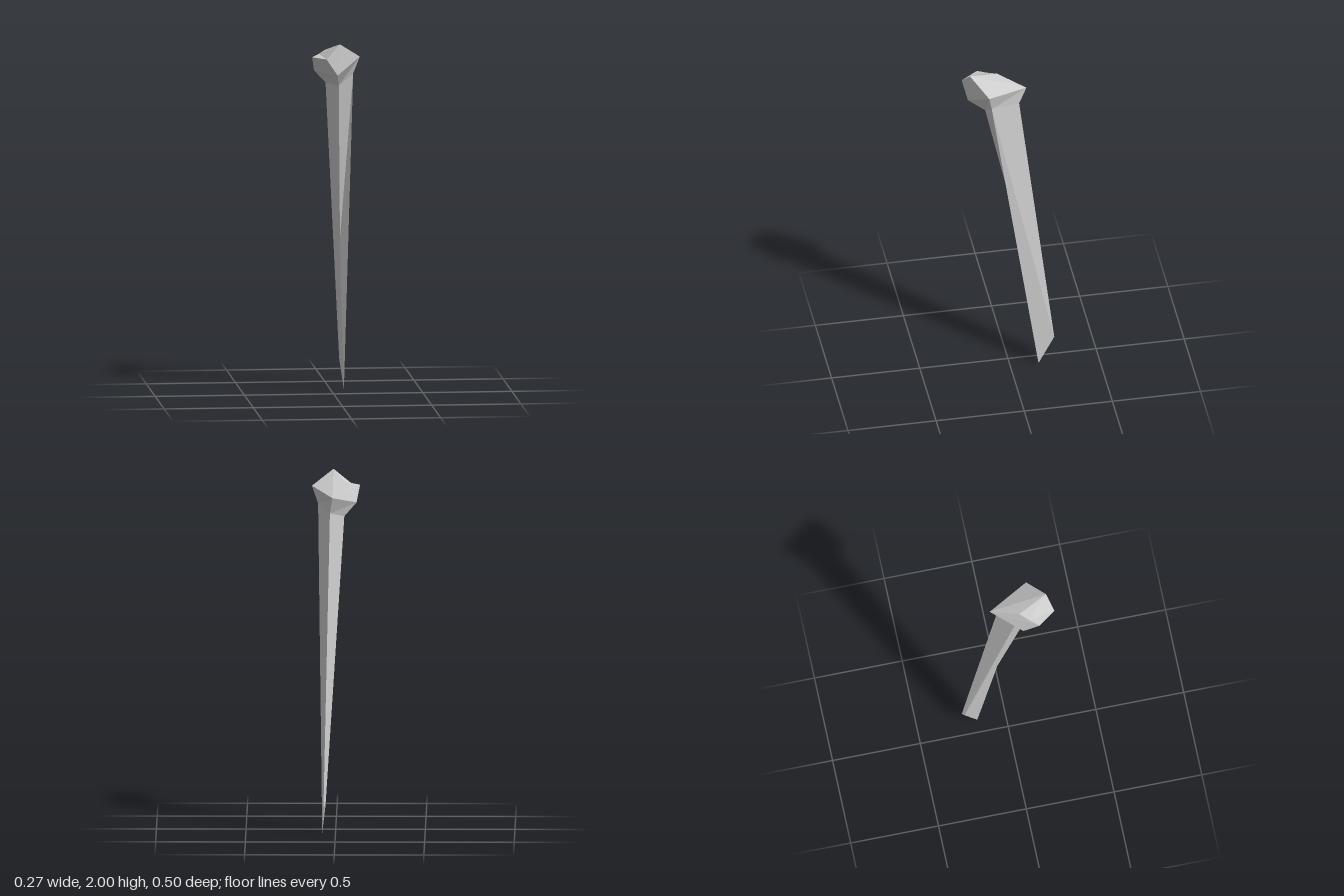
import * as THREE from 'three';

// Corner points, shared by head and shaft
const P = {
  // head: crown
  backTip: [0.017, 1.88, -0.102], crownLeft: [0.134, 1.917, 0.13], peak: [0.014, 2, 0.218],
  ridge: [-0.054, 1.947, 0.052], dent: [-0.093, 1.931, 0.099],
  cheekBack: [-0.135, 1.92, 0.151], cheekFront: [-0.064, 1.92, 0.25],
  // head: underside
  jawBack: [-0.116, 1.833, 0.063], jawFront: [0, 1.825, 0.227],
  // neck ring
  neckBack: [0.032, 1.788, -0.058], neckRight: [-0.048, 1.76, 0.028],
  neckFront: [0.016, 1.755, 0.132], neckLeft: [0.099, 1.82, 0.11],
  // shaft: end of the front facet and the slanted point
  facetEnd: [0.042, 0.866, -0.062], tipBack: [0.066, 0.165, -0.251],
  tipRight: [0.055, 0.165, -0.237], tip: [0.074, 0, -0.16],
};

// Each face is a counter-clockwise list of corners, fanned from its first one
function facetedMesh(name, faces, material) {
  const pos = [];
  for (const face of faces) {
    const c = face.split(' ').map((key) => P[key]);
    for (let i = 1; i < c.length - 1; i++) pos.push(...c[0], ...c[i], ...c[i + 1]);
  }
  const geo = new THREE.BufferGeometry();
  geo.setAttribute('position', new THREE.Float32BufferAttribute(pos, 3));
  geo.computeVertexNormals();
  const mesh = new THREE.Mesh(geo, material);
  mesh.name = name;
  return mesh;
}

export function createModel() {
  const group = new THREE.Group();
  group.name = 'spike';
  const material = new THREE.MeshStandardMaterial({ color: 0xcccccc, flatShading: true });

  // Chunky, irregular head
  group.add(facetedMesh('head', [
    'backTip ridge peak crownLeft',
    'ridge dent peak',
    'dent cheekFront peak',
    'dent cheekBack cheekFront',
    'backTip jawBack cheekBack dent ridge',
    'jawBack jawFront cheekFront cheekBack',
    'jawFront crownLeft peak cheekFront',
    'neckBack neckRight jawBack backTip',
    'neckRight neckFront jawFront jawBack',
    'neckFront neckLeft crownLeft jawFront',
    'neckLeft neckBack backTip crownLeft',
  ], material));

  // Long tapering shaft leaning backwards to a slanted point
  group.add(facetedMesh('shaft', [
    'tipBack tipRight neckRight neckBack',
    'tipRight facetEnd neckFront neckRight',
    'tipRight tip facetEnd',
    'facetEnd neckLeft neckFront',
    'facetEnd tip neckLeft',
    'neckLeft tip tipBack neckBack',
    'tip tipRight tipBack',
  ], material));

  return group;
}
